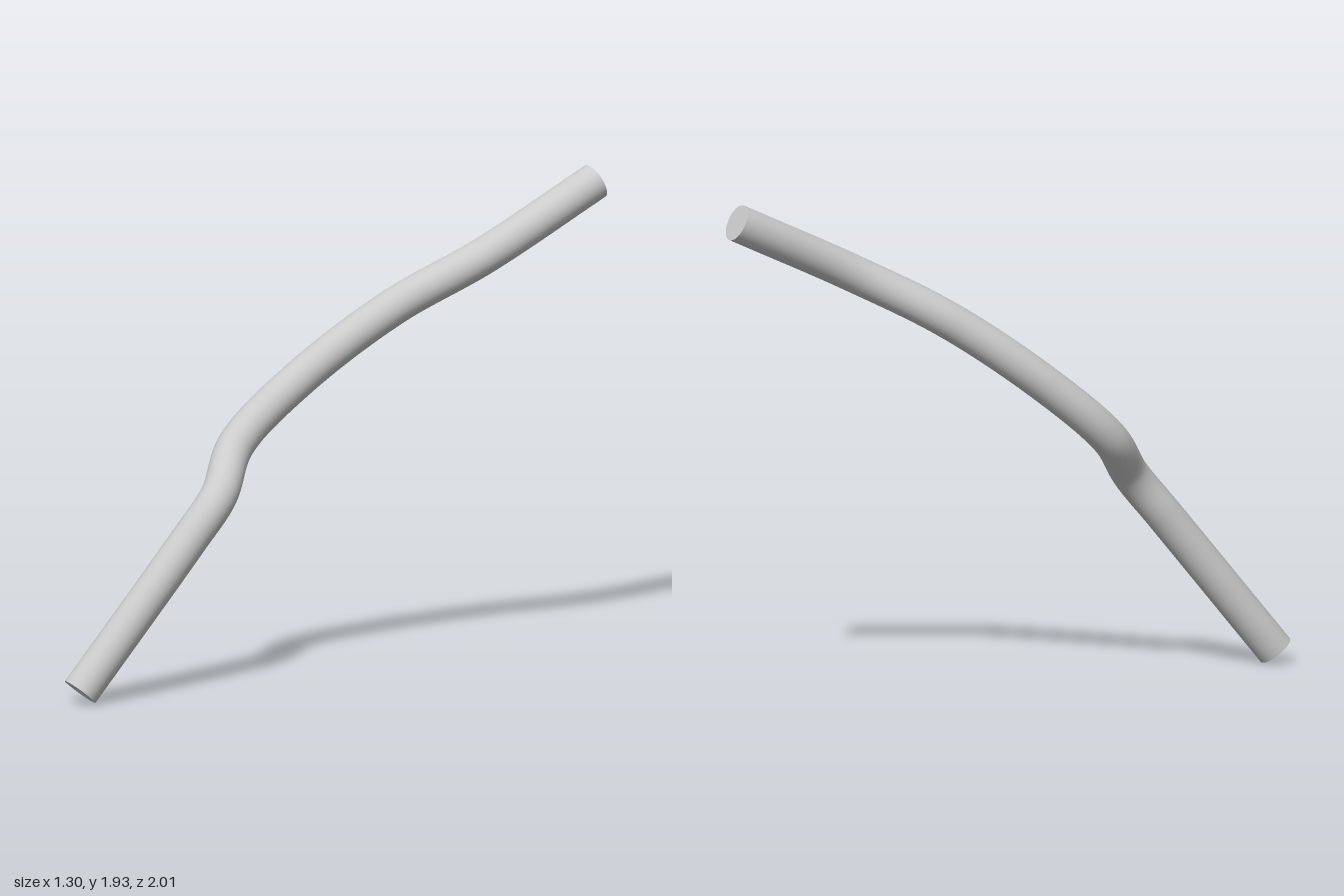
import * as THREE from 'three';

export function createModel() {
  const group = new THREE.Group();
  group.name = 'bentRod';
  const material = new THREE.MeshStandardMaterial({ color: 0xcccccc });
  const radius = 0.073;

  // centre line of the rod, from the low front end to the high back end
  const path = new THREE.CatmullRomCurve3([
    [-0.585, 0.042, 0.945],
    [-0.325, 0.6, 0.575],
    [-0.262, 0.765, 0.45],
    [-0.29, 0.94, 0.27],
    [-0.155, 1.165, 0.045],
    [0.1, 1.43, -0.24],
    [0.36, 1.62, -0.5],
    [0.585, 1.86, -0.957],
  ].map((p) => new THREE.Vector3(...p)));

  const rod = new THREE.Mesh(new THREE.TubeGeometry(path, 120, radius, 32), material);
  rod.name = 'rod';
  group.add(rod);

  // flat discs closing both ends
  const addCap = (name, t, sign) => {
    const cap = new THREE.Mesh(new THREE.CircleGeometry(radius, 32), material);
    cap.name = name;
    cap.position.copy(path.getPointAt(t));
    cap.quaternion.setFromUnitVectors(
      new THREE.Vector3(0, 0, 1),
      path.getTangentAt(t).multiplyScalar(sign),
    );
    group.add(cap);
  };
  addCap('lowerCap', 0, -1);
  addCap('upperCap', 1, 1);

  return group;
}
